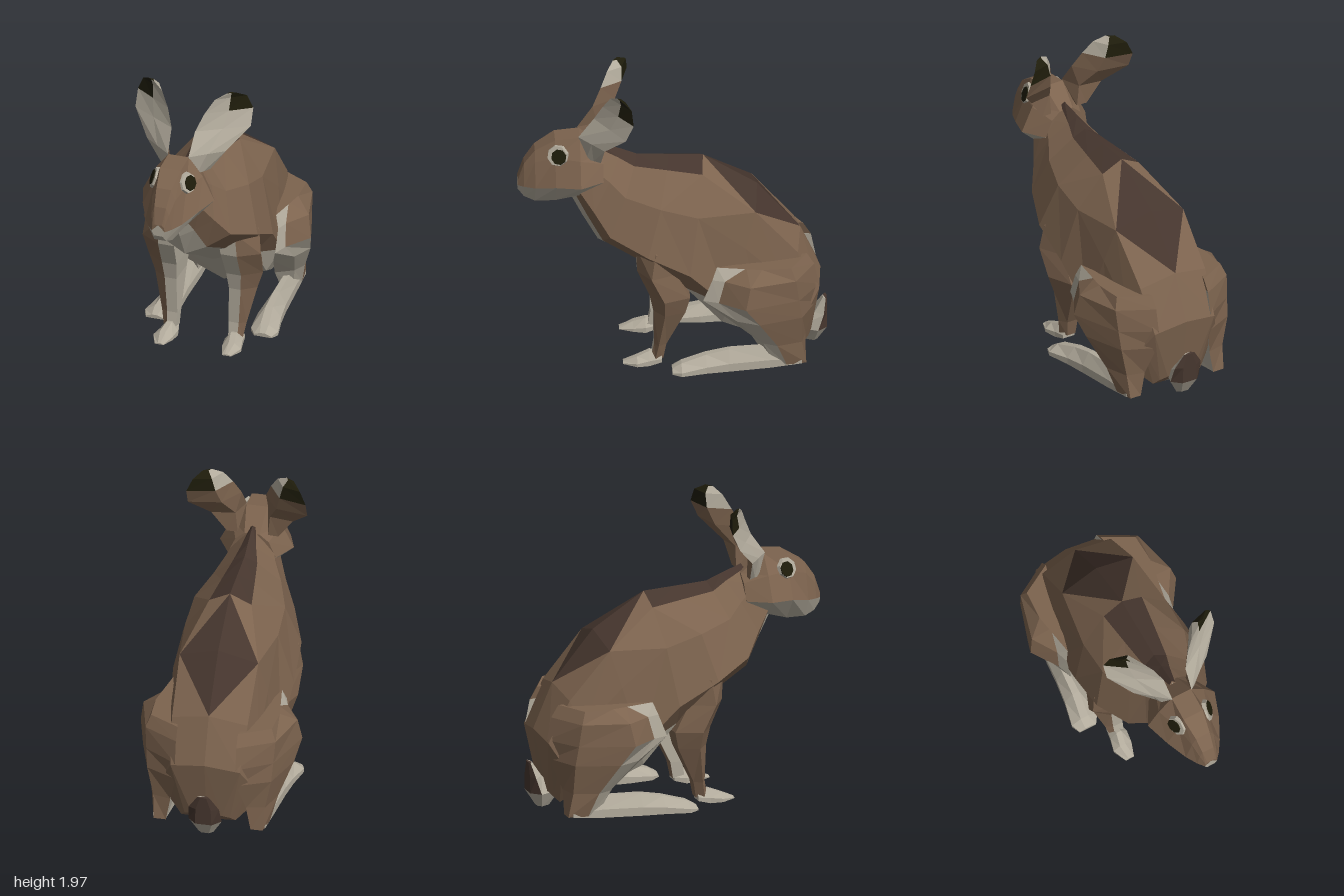
import * as THREE from 'three';

const mat = (name, color) => Object.assign(new THREE.MeshStandardMaterial({ color, flatShading: true }), { name });
const mix = (a, b, t) => a + (b - a) * t;

// Skins rings of points into a faceted mesh; paint(i, j, k) gives the colour of triangle k in quad (i, j).
// The winding is fixed by the sign of the enclosed volume, so mirrored rings work as well.
function loft(name, rings, mats, paint, { closed = true, otherDiagonal = () => false } = {}) {
  const tris = mats.map(() => []);
  const n = rings[0].length;
  let volume = 0;
  const add = (m, a, b, c) => {
    tris[m].push([a, b, c]);
    volume += a.dot(new THREE.Vector3().crossVectors(b, c));
  };
  for (let i = 0; i < rings.length - 1; i++) {
    for (let j = 0; j < (closed ? n : n - 1); j++) {
      const a = rings[i][j], b = rings[i + 1][j];
      const c = rings[i + 1][(j + 1) % n], d = rings[i][(j + 1) % n];
      if (otherDiagonal(i, j)) {
        add(paint(i, j, 0), a, b, d);
        add(paint(i, j, 1), b, c, d);
      } else {
        add(paint(i, j, 0), a, b, c);
        add(paint(i, j, 1), a, c, d);
      }
    }
  }
  const last = rings.length - 1;
  for (let j = 1; j < n - 1; j++) {
    add(paint(0, j, 0), rings[0][0], rings[0][j], rings[0][j + 1]);
    add(paint(last - 1, j, 0), rings[last][0], rings[last][j + 1], rings[last][j]);
  }
  const pos = [];
  const geo = new THREE.BufferGeometry();
  tris.forEach((list, m) => {
    const start = pos.length / 3;
    for (const [a, b, c] of list)
      for (const p of volume > 0 ? [a, b, c] : [a, c, b]) pos.push(p.x, p.y, p.z);
    if (list.length) geo.addGroup(start, list.length * 3, m);
  });
  geo.setAttribute('position', new THREE.Float32BufferAttribute(pos, 3));
  geo.computeVertexNormals();
  const mesh = new THREE.Mesh(geo, mats);
  mesh.name = name;
  return mesh;
}

export function createModel() {
  const group = new THREE.Group();
  group.name = 'hare';
  const mats = [mat('brown fur', 0x7c634e), mat('dark back fur', 0x46362e),
    mat('pale fur', 0xb2ab9c), mat('black', 0x1e1c0b)];
  const BROWN = 0, DARK = 1, PALE = 2, BLACK = 3;

  // Body: top y, top z, bottom y, bottom z, half width, ridge x, belly x
  const bodyRows = [
    [1.51, 0.47, 1.14, 0.66, 0.15, 0.02, 0.03],
    [1.46, 0.33, 0.98, 0.58, 0.21, 0.05, 0.09],
    [1.42, 0.23, 0.80, 0.48, 0.29, 0.08, 0.14],
    [1.41, 0.02, 0.66, 0.23, 0.39, 0.11, 0.20],
    [1.40, -0.20, 0.48, -0.06, 0.40, 0.14, 0.28],
    [1.18, -0.55, 0.22, -0.28, 0.37, 0.26, 0.28],
    [0.85, -0.83, 0.15, -0.47, 0.34, 0.25, 0.25],
    [0.55, -0.96, 0.10, -0.70, 0.31, 0.23, 0.18],
    [0.15, -0.90, 0.07, -0.82, 0.18, 0.10, 0.08],
  ];
  const bodyRing = (s) => ([ty, tz, by, bz, w, ridge, belly]) =>
    [[0, 0], [0.08, ridge], [0.33, Math.max(0.77 * w, ridge + 0.05)], [0.74, w], [0.9, belly], [1, 0]]
      .map(([t, x]) => new THREE.Vector3(s * x, mix(ty, by, t), mix(tz, bz, t)));
  const bodyPaint = (i, j, k) => {
    if (j === 0 && (i < 4 || (i < 6 && k === 0))) return DARK;
    if (j === 3 && (i === 5 || (i === 4 && k === 1))) return PALE;
    return j === 4 ? PALE : BROWN;
  };
  const bodyDiagonal = (i, j) => (i === 5 && j === 0) || (i === 4 && (j === 1 || j === 3)) || (i < 4 && j === 1);

  // Head: z, top y, top x, brow y, brow x, cheek y, cheek x, chin y, chin x
  const headRows = [
    [0.45, 1.46, 0.05, 1.41, 0.11, 1.30, 0.16, 1.22, 0.05],
    [0.60, 1.585, 0.07, 1.46, 0.165, 1.30, 0.245, 1.19, 0.12],
    [0.76, 1.57, 0.07, 1.46, 0.11, 1.285, 0.19, 1.13, 0.07],
    [0.89, 1.49, 0.05, 1.42, 0.08, 1.25, 0.125, 1.125, 0.06],
    [0.96, 1.39, 0.04, 1.34, 0.06, 1.24, 0.08, 1.15, 0.04],
    [1.00, 1.28, 0.025, 1.265, 0.04, 1.235, 0.045, 1.20, 0.03],
  ];
  const headRing = (s) => ([z, ty, tx, my, mx, cy, cx, by, bx]) =>
    [[0, ty], [tx, ty], [mx, my], [cx, cy], [bx, by], [0, by]].map(([x, y]) => new THREE.Vector3(s * x, y, z));

  // Fore leg slices: y, front z, back z, inner x, outer x, front edge x
  const foreRows = [
    [0.97, 0.14, 0.02, 0.22, 0.33, 0.28],
    [0.87, 0.25, -0.10, 0.13, 0.385, 0.26],
    [0.70, 0.24, -0.01, 0.16, 0.405, 0.27],
    [0.52, 0.16, -0.10, 0.17, 0.39, 0.27],
    [0.40, 0.135, -0.07, 0.18, 0.35, 0.26],
    [0.15, 0.13, 0.05, 0.175, 0.29, 0.245],
    [0.04, 0.15, 0.07, 0.18, 0.27, 0.24],
  ];
  const foreRing = (s) => ([y, zf, zb, xi, xo, xf]) => [
    [xi, zf], [xf, zf], [xo, mix(zf, zb, 0.35)], [mix(xi, xo, 0.7), zb], [xi, zb],
  ].map(([x, z]) => new THREE.Vector3(s * x, y, z));

  // Haunch slices: y, then x and z of the front inner, front, outer, back and back inner corners
  const haunchRows = [
    [0.76, 0.36, -0.27, 0.38, -0.46, 0.41, -0.56, 0.40, -0.75, 0.20, -0.86],
    [0.68, 0.385, -0.24, 0.41, -0.32, 0.51, -0.48, 0.43, -0.78, 0.20, -0.91],
    [0.53, 0.385, -0.18, 0.42, -0.28, 0.535, -0.45, 0.42, -0.80, 0.20, -0.94],
    [0.40, 0.33, -0.30, 0.44, -0.40, 0.50, -0.54, 0.41, -0.82, 0.20, -0.92],
    [0.20, 0.27, -0.50, 0.38, -0.57, 0.42, -0.66, 0.37, -0.82, 0.25, -0.85],
    [0.04, 0.28, -0.60, 0.35, -0.64, 0.38, -0.72, 0.36, -0.85, 0.28, -0.85],
  ];
  const haunchRing = (s) => ([y, ...xz]) =>
    [0, 2, 4, 6, 8].map((i) => new THREE.Vector3(s * xz[i], y, xz[i + 1]));

  // Feet, upright slices: z, bottom y, top y, inner x, outer x
  const hindFootRows = [
    [-0.82, 0.04, 0.10, 0.28, 0.37],
    [-0.62, 0.02, 0.16, 0.27, 0.38],
    [-0.35, 0.01, 0.15, 0.27, 0.40],
    [-0.20, 0.01, 0.12, 0.26, 0.42],
    [-0.04, 0.01, 0.075, 0.27, 0.455],
    [0.02, 0.015, 0.04, 0.31, 0.43],
  ];
  const pawRows = [
    [0.08, 0.02, 0.08, 0.18, 0.27],
    [0.16, 0.0, 0.09, 0.16, 0.28],
    [0.24, 0.005, 0.06, 0.17, 0.30],
    [0.33, 0.01, 0.02, 0.20, 0.26],
  ];
  const footRing = (s) => ([z, yb, yt, xi, xo]) => [
    [xi, yb], [xo, yb], [xo, mix(yb, yt, 0.4)],
    [mix(xi, xo, 0.65), yt], [mix(xi, xo, 0.35), yt], [xi, mix(yb, yt, 0.4)],
  ].map(([x, y]) => new THREE.Vector3(s * x, y, z));

  // Ears: y, inner x, inner z, outer x, outer z, thickness
  const earRows = [
    [1.45, 0.11, 0.56, 0.17, 0.47, 0.05],
    [1.59, 0.07, 0.61, 0.27, 0.45, 0.07],
    [1.73, 0.08, 0.51, 0.395, 0.32, 0.07],
    [1.84, 0.125, 0.455, 0.395, 0.27, 0.06],
    [1.93, 0.18, 0.41, 0.355, 0.28, 0.04],
    [1.97, 0.25, 0.37, 0.30, 0.34, 0.015],
  ];
  const earRing = (s) => ([y, xi, zi, xo, zo, t]) => {
    const cx = (xi + xo) / 2, cz = (zi + zo) / 2;
    return [[xi, zi], [cx, cz], [xo, zo], [cx - 0.8 * t, cz - 0.8 * t]]
      .map(([x, z]) => new THREE.Vector3(s * x, y, z));
  };
  const earPaint = (i, j) => {
    if (j === 0) return PALE;
    if (j === 1) return i >= 3 ? BLACK : PALE;
    if (i < 3) return BROWN;
    return j === 2 ? BLACK : PALE;
  };

  for (const s of [1, -1]) {
    const side = s > 0 ? 'left' : 'right';
    const part = (name, rows, ring, paint, opts) =>
      group.add(loft(side + name, rows.map(ring), mats, paint, opts));
    part('Body', bodyRows, bodyRing(s), bodyPaint, { closed: false, otherDiagonal: bodyDiagonal });
    part('Head', headRows, headRing(s), (i, j) => (j >= 3 ? PALE : BROWN), { closed: false });
    part('Ear', earRows, earRing(s), earPaint);
    part('ForeLeg', foreRows, foreRing(s),
      (i, j) => (i > 0 && (j === 0 || j === 4) ? PALE : BROWN));
    part('Haunch', haunchRows, haunchRing(s),
      (i, j) => ((j === 4 && i > 0) || j === 0 || (j === 1 && i > 1) ? PALE : BROWN));
    part('HindFoot', hindFootRows, footRing(s), () => PALE);
    part('ForePaw', pawRows, footRing(s), () => PALE);

    // Eye: dark disc over a pale rim set slightly forward and up
    const eye = new THREE.Group();
    eye.name = side + 'Eye';
    [['eyeRim', 0.074, PALE, 0, 0.01], ['eyeball', 0.056, BLACK, 0.006, 0]].forEach(([name, r, m, lift, shift]) => {
      const disc = new THREE.Mesh(new THREE.CylinderGeometry(r * 0.9, r, 0.024, 8), mats[m]);
      disc.name = name;
      disc.position.set(-s * shift, lift, shift);
      eye.add(disc);
    });
    eye.position.set(s * 0.118, 1.475, 0.735);
    eye.quaternion.setFromUnitVectors(new THREE.Vector3(0, 1, 0),
      new THREE.Vector3(s * 0.87, 0.33, 0.33).normalize());
    group.add(eye);
  }

  // Tail: y, front z, back z, half width
  const tailRows = [[0.03, -0.86, -0.94, 0.05], [0.13, -0.80, -1.0, 0.11], [0.24, -0.92, -1.0, 0.10], [0.33, -0.975, -1.0, 0.04]];
  group.add(loft('tail', tailRows.map(([y, zf, zb, w]) =>
    [[-w * 0.5, zf], [w * 0.5, zf], [w, mix(zf, zb, 0.7)], [w * 0.5, zb], [-w * 0.5, zb], [-w, mix(zf, zb, 0.7)]]
      .map(([x, z]) => new THREE.Vector3(x, y, z))), mats,
  (i, j) => (i > 0 && j >= 2 && j <= 4 ? DARK : PALE)));

  return group;
}
